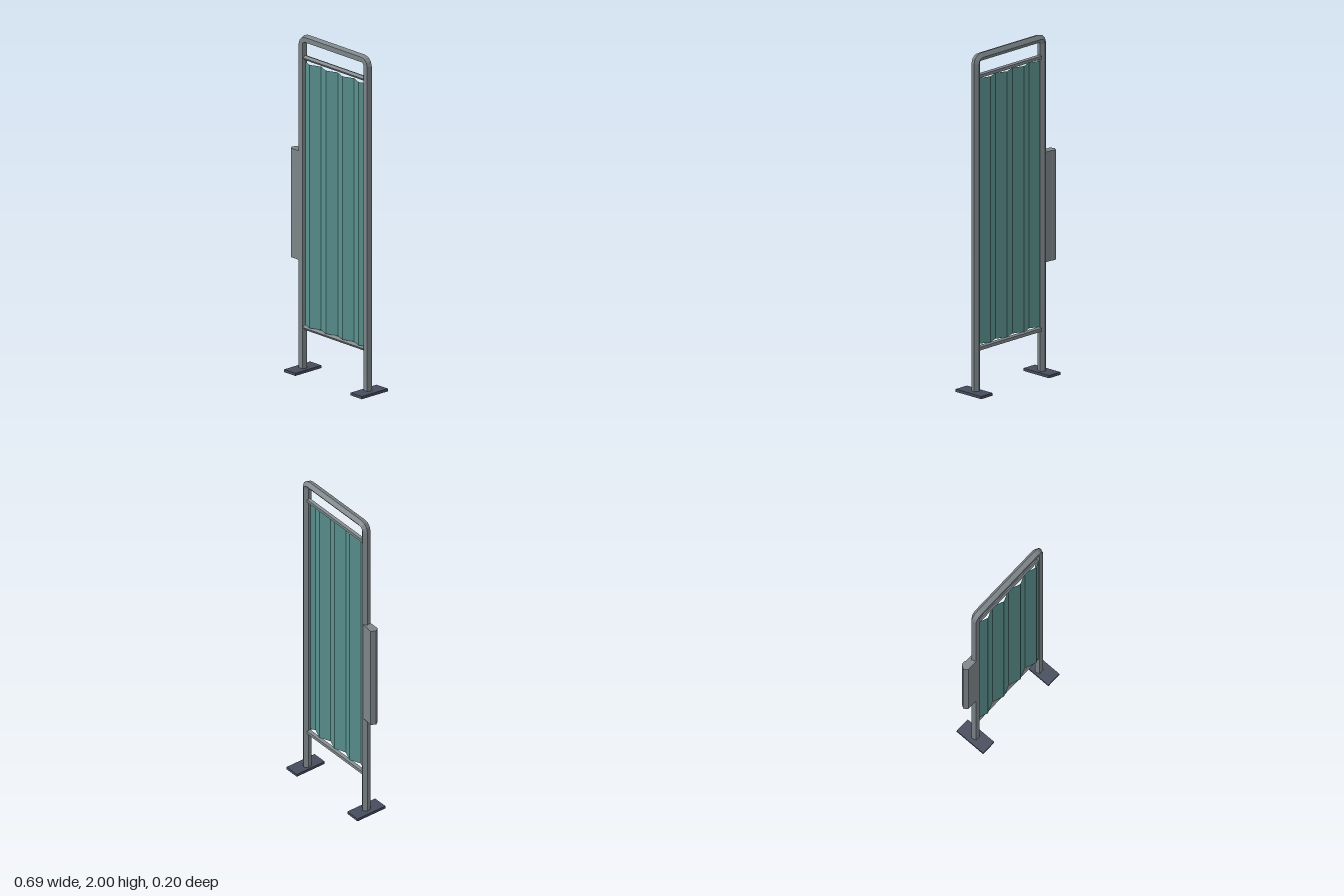
import * as THREE from 'three';

const metal = new THREE.MeshStandardMaterial({ color: 0x7d868a, flatShading: true });
metal.name = 'grey metal';
const cloth = new THREE.MeshStandardMaterial({ color: 0x5a9290, flatShading: true, side: THREE.DoubleSide });
cloth.name = 'teal cloth';
const rubber = new THREE.MeshStandardMaterial({ color: 0x464c5c, flatShading: true });
rubber.name = 'dark foot';

const LEFT = -0.248, RIGHT = 0.285, TOP = 1.976, TUBE_Z = -0.002;

function add(parent, name, geometry, material, x = 0, y = 0, z = 0) {
  const mesh = new THREE.Mesh(geometry, material);
  mesh.name = name;
  mesh.position.set(x, y, z);
  parent.add(mesh);
  return mesh;
}

// Five-sided tube swept along an arch in the xy plane
function archGeometry(radius, sides) {
  const bend = 0.033, steps = 3, path = [{ x: LEFT, y: 0.002, a: Math.PI }];
  for (const [cx, from] of [[LEFT + bend, Math.PI], [RIGHT - bend, Math.PI / 2]]) {
    for (let i = 0; i <= steps; i++) {
      const a = from - (i / steps) * Math.PI / 2;
      path.push({ x: cx + bend * Math.cos(a), y: TOP - bend + bend * Math.sin(a), a });
    }
  }
  path.push({ x: RIGHT, y: 0.002, a: 0 });
  const pos = [], index = [];
  path.forEach((p, i) => {
    for (let k = 0; k < sides; k++) {
      const t = (k / sides) * Math.PI * 2, u = radius * Math.sin(t);
      pos.push(p.x + u * Math.cos(p.a), p.y + u * Math.sin(p.a), -radius * Math.cos(t));
      if (i === path.length - 1) continue;
      const a = i * sides + k, b = i * sides + (k + 1) % sides;
      index.push(a, b, b + sides, a, b + sides, a + sides);
    }
  });
  const end = (path.length - 1) * sides;
  for (let k = 1; k < sides - 1; k++) index.push(0, k + 1, k, end, end + k, end + k + 1);
  const g = new THREE.BufferGeometry();
  g.setAttribute('position', new THREE.Float32BufferAttribute(pos, 3));
  g.setIndex(index);
  const flat = g.toNonIndexed();
  flat.computeVertexNormals();
  return flat;
}

// Pleated sheet: a strip of panels folding forward and back
function curtainGeometry() {
  const folds = [-0.235, -0.17, -0.102, -0.035, 0.035, 0.103, 0.17, 0.236, 0.272];
  const g = new THREE.PlaneGeometry(1, 1, folds.length - 1, 1);
  const p = g.attributes.position;
  for (let i = 0; i < p.count; i++) {
    const k = i % folds.length;
    const z = k === folds.length - 1 ? 0.008 : k % 2 ? 0.023 : -0.004;
    p.setXYZ(i, folds[k], i < folds.length ? 1.84 : 0.275, z);
  }
  const flat = g.toNonIndexed();
  flat.computeVertexNormals();
  return flat;
}

// Upright plate extruded from a plan outline of [x, z] points
function uprightGeometry(outline, height, hole) {
  const points = list => list.map(([x, z]) => new THREE.Vector2(x, -z));
  const shape = new THREE.Shape(points(outline));
  if (hole) shape.holes.push(new THREE.Path(points(hole)));
  return new THREE.ExtrudeGeometry(shape, { depth: height, bevelEnabled: false }).rotateX(-Math.PI / 2);
}

const rect = (w, d) => [[-w, -d], [w, -d], [w, d], [-w, d]];

export function createModel() {
  const model = new THREE.Group();
  model.name = 'foldingScreen';

  add(model, 'frame', archGeometry(0.025, 5), metal, 0, 0, TUBE_Z);

  // Cross rails carrying the cloth
  for (const [name, y, r] of [['upperRail', 1.863, 0.015], ['lowerRail', 0.26, 0.016]]) {
    const rail = new THREE.CylinderGeometry(r, r, RIGHT - LEFT, 5).rotateZ(Math.PI / 2);
    add(model, name, rail, metal, (LEFT + RIGHT) / 2, y, TUBE_Z);
  }

  add(model, 'curtain', curtainGeometry(), cloth);

  // Side plate with a pointed outer edge
  const plate = [[-0.345, -0.006], [-0.328, -0.032], [-0.304, -0.032], [-0.298, -0.028],
    [-0.25, -0.026], [-0.25, 0.0175], [-0.328, 0.0175]];
  add(model, 'sidePlate', uprightGeometry(plate, 0.648), metal, 0, 0.656, 0);

  // Feet hollow underneath: a rim and a lid
  for (const [name, x] of [['rightFoot', -0.249], ['leftFoot', 0.298]]) {
    const foot = new THREE.Group();
    foot.name = name;
    foot.position.x = x;
    add(foot, 'rim', uprightGeometry(rect(0.046, 0.1), 0.012, rect(0.038, 0.092)), rubber);
    add(foot, 'lid', new THREE.BoxGeometry(0.092, 0.004, 0.2), rubber, 0, 0.014, 0);
    model.add(foot);
  }
  return model;
}
